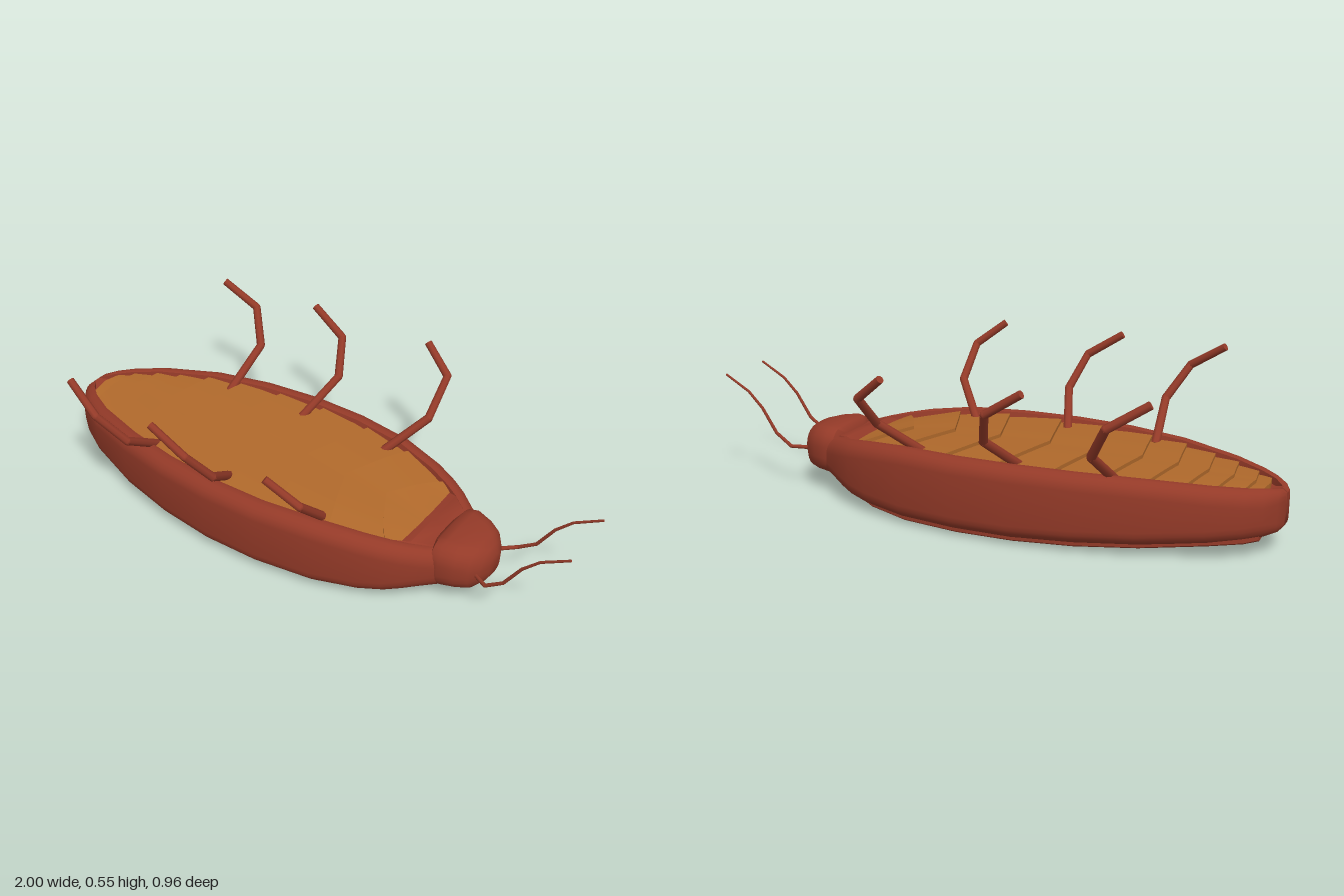
import * as THREE from 'three';
import { toCreasedNormals } from 'three/addons/utils/BufferGeometryUtils.js';

const shellMat = new THREE.MeshStandardMaterial({ color: 0x943a28 });
const bellyMat = new THREE.MeshStandardMaterial({ color: 0xb0692b, side: THREE.DoubleSide });

// Stations along the body: x, half width, bottom, top
const BODY = [
  [-1, 0.035, 0.09, 0.195], [-0.985, 0.07, 0.075, 0.208], [-0.95, 0.115, 0.065, 0.218], [-0.9, 0.155, 0.06, 0.224],
  [-0.8, 0.21, 0.053, 0.235], [-0.6, 0.28, 0.04, 0.252], [-0.4, 0.322, 0.03, 0.259], [-0.2, 0.341, 0.022, 0.262],
  [0, 0.338, 0.02, 0.262], [0.2, 0.31, 0.02, 0.26], [0.35, 0.268, 0.028, 0.245], [0.43, 0.235, 0.038, 0.232],
  [0.48, 0.208, 0.05, 0.222], [0.53, 0.172, 0.06, 0.21], [0.58, 0.135, 0.068, 0.2],
];
const HEAD = [
  [0.53, 0.11, 0.08, 0.21], [0.55, 0.138, 0.066, 0.232], [0.58, 0.143, 0.064, 0.236], [0.63, 0.127, 0.065, 0.231],
  [0.67, 0.105, 0.068, 0.222], [0.695, 0.072, 0.085, 0.205], [0.71, 0.035, 0.11, 0.18],
];
const WINGS = [
  [-0.94, 0.1, 0.055], [-0.9, 0.135, 0.051], [-0.8, 0.18, 0.044], [-0.6, 0.24, 0.026], [-0.4, 0.275, 0.012],
  [-0.2, 0.29, 0.003], [0, 0.288, 0], [0.2, 0.265, 0.002], [0.35, 0.22, 0.012], [0.45, 0.165, 0.028], [0.5, 0.11, 0.045],
];

// Linear lookup of one column of a station table
function at(table, x, col) {
  let i = 1;
  while (i < table.length - 1 && table[i][0] < x) i++;
  const a = table[i - 1], b = table[i];
  const t = THREE.MathUtils.clamp((x - a[0]) / (b[0] - a[0]), 0, 1);
  return a[col] + (b[col] - a[col]) * t;
}

// Closed loft through mirrored half sections of [z, y], bottom centre to top centre
function loft(stations, halfSection, crease) {
  const pos = [], idx = [];
  let n = 0;
  for (const s of stations) {
    const half = halfSection(...s);
    const ring = half.concat(half.slice(1, -1).reverse().map(([z, y]) => [-z, y]));
    n = ring.length;
    for (const [z, y] of ring) pos.push(s[0], y, z);
  }
  const last = stations.length - 1;
  for (let i = 0; i < last; i++) {
    for (let j = 0; j < n; j++) {
      const a = i * n + j, b = i * n + (j + 1) % n;
      idx.push(a, a + n, b + n, a, b + n, b);
    }
  }
  for (const i of [0, last]) {
    const c = pos.length / 3, y = (pos[i * n * 3 + 1] + halfSection(...stations[i]).at(-1)[1]) / 2;
    pos.push(stations[i][0], y, 0);
    for (let j = 0; j < n; j++) {
      const a = i * n + j, b = i * n + (j + 1) % n;
      if (i === 0) idx.push(c, a, b); else idx.push(c, b, a);
    }
  }
  const geo = new THREE.BufferGeometry();
  geo.setAttribute('position', new THREE.Float32BufferAttribute(pos, 3));
  geo.setIndex(idx);
  return toCreasedNormals(geo, crease);
}

// Rounded side shared by shell and head
function roundedSide(w, bottom, top, r) {
  const pts = [[0, bottom]];
  for (let k = 0; k <= 5; k++) {
    const a = k / 5 * Math.PI / 2;
    pts.push([w - r + r * Math.sin(a), bottom + r - r * Math.cos(a)]);
  }
  for (let k = 0; k <= 5; k++) {
    const a = k / 5 * Math.PI / 2;
    pts.push([w - r + r * Math.cos(a), top - r + r * Math.sin(a)]);
  }
  return pts;
}

const innerWidth = (x) => Math.max(at(BODY, x, 1) - 0.06, 0.01);

// Shell with a raised rim around a shallow belly recess
function shellSection(x, w, bottom, top) {
  const r = Math.min(0.05, w * 0.5);
  const dip = x > -0.96 && x < 0.45 ? 0.028 : 0;
  const inner = Math.min(Math.max(w - 0.062, 0.005), w - r);
  return [...roundedSide(w, bottom, top, r), [inner, top - 0.004], [inner * 0.97, top - dip], [0, top - dip]];
}

function headSection(x, w, bottom, top) {
  return [...roundedSide(w, bottom, top, Math.min(0.065, w * 0.8)), [0, top + 0.002]];
}

function wingSection(x, w, bottom) {
  return [[0, bottom], [w * 0.5, bottom], [w - 0.006, bottom], [w, bottom + 0.005], [w, bottom + 0.045], [0, bottom + 0.045]];
}

// One chevron belly plate, sloping up to a lip at its rear edge
function bellyPlate(x0, x1, chevron0, chevron1) {
  const pos = [], idx = [], N = 16;
  const rows = [[x0, chevron0, -0.032], [x0, chevron0, -0.01], [x1, chevron1, -0.022]];
  for (const [xc, chevron, lift] of rows) {
    for (let k = 0; k <= N; k++) {
      const t = k / N * 2 - 1;
      const x = Math.min(xc + chevron * Math.abs(t), 0.47);
      pos.push(x, at(BODY, x, 3) + lift + 0.006 * (1 - t * t), t * innerWidth(x));
    }
  }
  for (let i = 0; i < 2; i++) {
    for (let k = 0; k < N; k++) {
      const a = i * (N + 1) + k, b = a + N + 1;
      idx.push(a, a + 1, b + 1, a, b + 1, b);
    }
  }
  const geo = new THREE.BufferGeometry();
  geo.setAttribute('position', new THREE.Float32BufferAttribute(pos, 3));
  geo.setIndex(idx);
  return toCreasedNormals(geo, 0.4);
}

// Jointed limb through points, mirrored by side
function limb(name, points, side, radius, tip) {
  const group = new THREE.Group();
  group.name = name;
  const p = points.map(([x, y, z]) => new THREE.Vector3(x, y, z * side));
  const rad = (i) => radius + (tip - radius) * i / (p.length - 1);
  for (let i = 0; i < p.length - 1; i++) {
    const dir = p[i + 1].clone().sub(p[i]);
    const seg = new THREE.Mesh(new THREE.CylinderGeometry(rad(i + 1), rad(i), dir.length(), 8), shellMat);
    seg.name = name + 'Segment';
    seg.position.copy(p[i]).addScaledVector(dir, 0.5);
    seg.quaternion.setFromUnitVectors(new THREE.Vector3(0, 1, 0), dir.normalize());
    group.add(seg);
    if (i > 0) {
      const joint = new THREE.Mesh(new THREE.SphereGeometry(rad(i), 8, 6), shellMat);
      joint.name = name + 'Joint';
      joint.position.copy(p[i]);
      group.add(joint);
    }
  }
  return group;
}

const LEGS = {
  rearLeg: [[-0.51, 0.225, 0.2], [-0.49, 0.345, 0.37], [-0.555, 0.455, 0.435], [-0.68, 0.535, 0.41]],
  middleLeg: [[-0.195, 0.225, 0.2], [-0.135, 0.345, 0.36], [-0.175, 0.455, 0.44], [-0.3, 0.535, 0.452]],
  frontLeg: [[0.15, 0.225, 0.2], [0.262, 0.345, 0.32], [0.262, 0.455, 0.435], [0.16, 0.535, 0.47]],
};
const ANTENNA = [[0.68, 0.14, 0.075], [0.735, 0.148, 0.112], [0.795, 0.19, 0.112], [0.85, 0.275, 0.112], [0.905, 0.33, 0.112], [0.998, 0.383, 0.112]];

export function createModel() {
  const model = new THREE.Group();
  model.name = 'insectOnItsBack';
  const add = (name, geo, mat) => {
    const mesh = new THREE.Mesh(geo, mat);
    mesh.name = name;
    model.add(mesh);
  };

  add('bodyShell', loft(BODY, shellSection, 0.8), shellMat);
  add('head', loft(HEAD, headSection, 0.8), shellMat);
  add('foldedWings', loft(WINGS, wingSection, 0.6), shellMat);

  // Belly plates, shorter and flatter toward the tail
  const edges = [-0.945, -0.9, -0.83, -0.75, -0.65, -0.53, -0.38, -0.21, -0.03, 0.14, 0.3, 0.455];
  const chevron = (x) => THREE.MathUtils.mapLinear(x, -0.945, 0.3, 0.01, 0.11);
  for (let i = 0; i < edges.length - 1; i++) {
    add('bellyPlate', bellyPlate(edges[i], edges[i + 1], chevron(edges[i]), chevron(edges[i + 1])), bellyMat);
  }

  for (const side of [1, -1]) {
    for (const [name, points] of Object.entries(LEGS)) model.add(limb(name, points, side, 0.016, 0.013));
    model.add(limb('antenna', ANTENNA, side, 0.007, 0.004));
  }
  return model;
}
